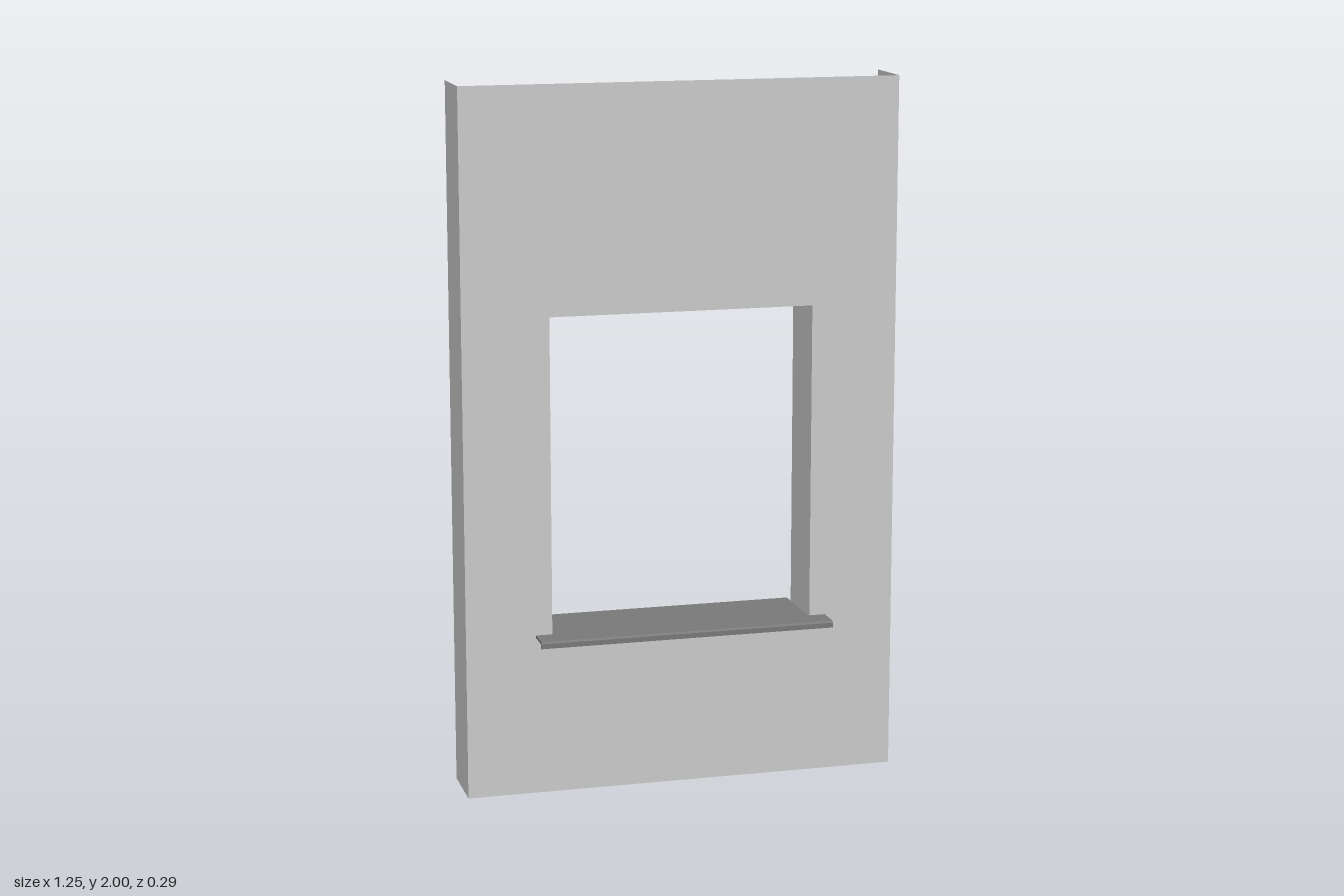
import * as THREE from 'three';

const FRONT = 0.071, BACK = -0.11;          // panel face and rear edge of the returns
const HALF_W = 0.623, HEIGHT = 2;           // panel
const WIN_X = 0.377, WIN_Y0 = 0.455, WIN_Y1 = 1.363; // window opening

const grey = new THREE.MeshStandardMaterial({ color: 0xcccccc, side: THREE.DoubleSide });
const dark = new THREE.MeshStandardMaterial({ color: 0x7a7a7a, side: THREE.DoubleSide });

function mesh(name, geometry, material) {
  const m = new THREE.Mesh(geometry, material);
  m.name = name;
  return m;
}

// Thin sheet running front to back, upright or level
function sheet(name, length, x, y, upright) {
  const depth = FRONT - BACK;
  const geo = upright
    ? new THREE.PlaneGeometry(depth, length).rotateY(Math.sign(x) * Math.PI / 2)
    : new THREE.PlaneGeometry(length, depth).rotateX(-Math.PI / 2);
  const m = mesh(name, geo, grey);
  m.position.set(x, y, (FRONT + BACK) / 2);
  return m;
}

// Solid strip along x from a [z, y] profile
function strip(name, profile, halfWidth) {
  const shape = new THREE.Shape(profile.map(([z, y]) => new THREE.Vector2(-z, y)));
  const geo = new THREE.ExtrudeGeometry(shape, { depth: halfWidth * 2, bevelEnabled: false });
  geo.translate(0, 0, -halfWidth).rotateY(Math.PI / 2);
  return mesh(name, geo, dark);
}

export function createModel() {
  const model = new THREE.Group();
  model.name = 'windowWallPanel';

  // Front face with the window opening
  const face = new THREE.Shape();
  face.moveTo(-HALF_W, 0).lineTo(HALF_W, 0).lineTo(HALF_W, HEIGHT).lineTo(-HALF_W, HEIGHT).closePath();
  const hole = new THREE.Path();
  hole.moveTo(-WIN_X, WIN_Y0).lineTo(-WIN_X, WIN_Y1).lineTo(WIN_X, WIN_Y1).lineTo(WIN_X, WIN_Y0).closePath();
  face.holes.push(hole);
  const front = mesh('frontFace', new THREE.ShapeGeometry(face), grey);
  front.position.z = FRONT;
  model.add(front);

  // Side returns and window jambs
  for (const [side, s] of [['left', 1], ['right', -1]]) {
    model.add(sheet(side + 'Return', HEIGHT, s * HALF_W, HEIGHT / 2, true));
    model.add(sheet(side + 'Jamb', WIN_Y1 - WIN_Y0, s * WIN_X, (WIN_Y0 + WIN_Y1) / 2, true));
  }

  // Window head and base
  model.add(sheet('windowHead', WIN_X * 2, 0, WIN_Y1, false));
  model.add(sheet('windowBase', WIN_X * 2, 0, WIN_Y0, false));

  // Sill: wide nose with a dropped lip in front, narrower tongue through the opening
  const sill = new THREE.Group();
  sill.name = 'sill';
  sill.add(strip('sillNose', [
    [FRONT, 0.462], [0.14, 0.462], [0.145, 0.457], [0.145, 0.443],
    [0.138, 0.443], [0.138, 0.455], [FRONT, 0.455],
  ], 0.424));
  sill.add(strip('sillTongue', [
    [FRONT, 0.46], [-0.135, 0.46], [-0.148, 0.455],
    [-0.148, 0.453], [-0.135, 0.457], [FRONT, 0.457],
  ], 0.373));
  model.add(sill);

  return model;
}
